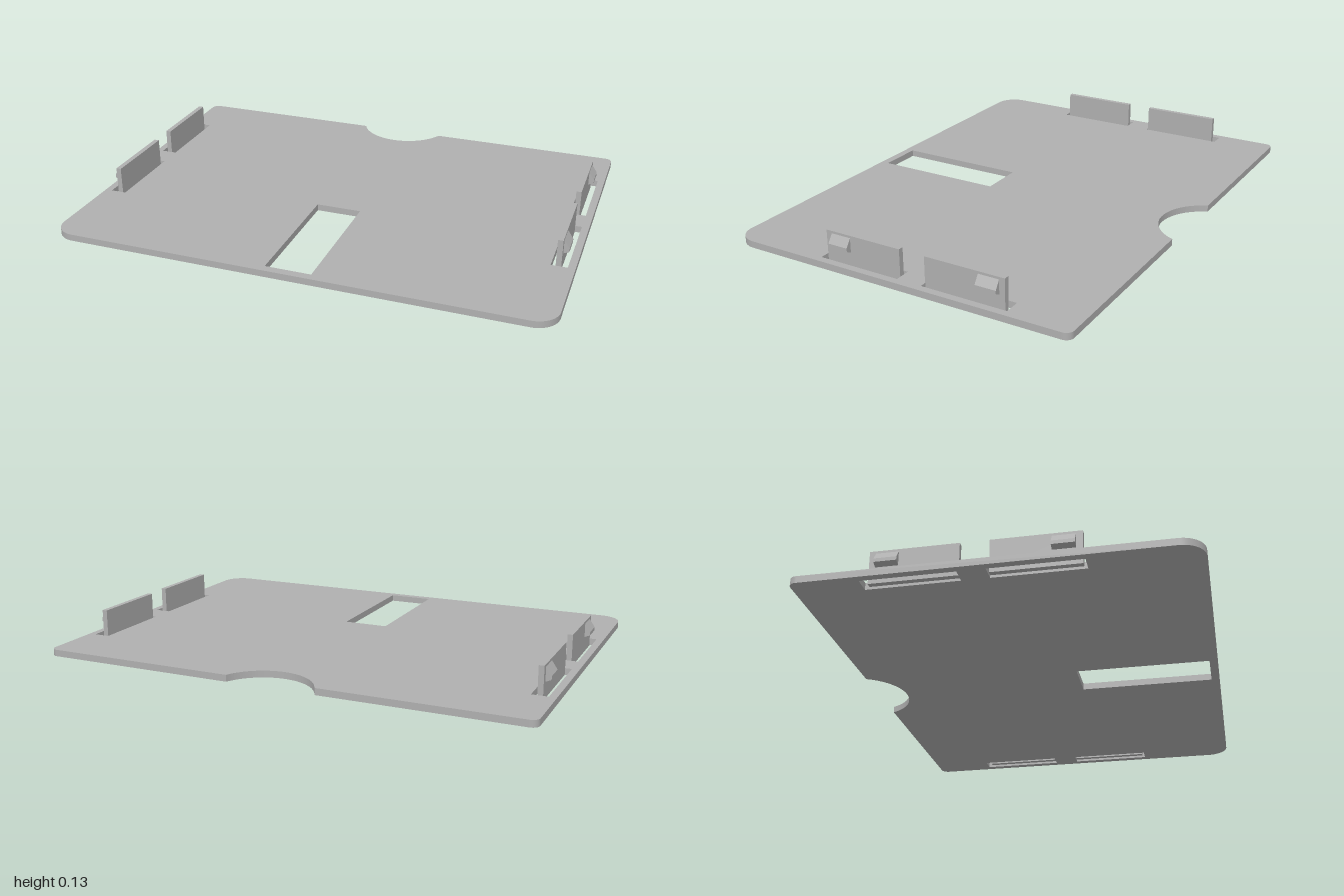
import * as THREE from 'three';

const grey = new THREE.MeshStandardMaterial({ color: 0xb0b0b0 });
grey.name = 'grey plastic';

const THICK = 0.027;

// Rectangular hole in plan; the shape's y is -z
function rectHole(x0, x1, z0, z1) {
  const p = new THREE.Path();
  p.moveTo(x0, -z0);
  p.lineTo(x1, -z0);
  p.lineTo(x1, -z1);
  p.lineTo(x0, -z1);
  p.closePath();
  return p;
}

// Cross-section in x/y swept from z0 to z1, mirrored by side
function sweep(name, points, side, z0, z1) {
  const shape = new THREE.Shape(points.map(([x, y]) => new THREE.Vector2(x * side, y)));
  const geo = new THREE.ExtrudeGeometry(shape, { depth: z1 - z0, bevelEnabled: false });
  geo.translate(0, 0, z0);
  const mesh = new THREE.Mesh(geo, grey);
  mesh.name = name;
  return mesh;
}

// Slot, tab and hook extents along z, front and back
const clips = [
  { name: 'front', slot: [-0.02, 0.323], tab: [-0.015, 0.312], hook: [0.204, 0.288] },
  { name: 'back', slot: [-0.473, -0.123], tab: [-0.45, -0.122], hook: [-0.427, -0.343] },
];

function createPlate() {
  const w = 1, d = 0.725, rf = 0.09, rb = 0.03;
  const notchHalf = 0.183, notchDepth = 0.12;
  const r = (notchHalf ** 2 + notchDepth ** 2) / (2 * notchDepth);
  const a = Math.atan2(notchDepth - r, notchHalf);
  const cy = d - notchDepth + r;

  // Outline with large front corners, small back corners and a thumb notch
  const s = new THREE.Shape();
  s.moveTo(-w + rf, -d);
  s.lineTo(w - rf, -d);
  s.absarc(w - rf, -d + rf, rf, -Math.PI / 2, 0, false);
  s.lineTo(w, d - rb);
  s.absarc(w - rb, d - rb, rb, 0, Math.PI / 2, false);
  s.lineTo(notchHalf, d);
  s.absarc(0, cy, r, a, -Math.PI - a, true);
  s.lineTo(-w + rb, d);
  s.absarc(-w + rb, d - rb, rb, Math.PI / 2, Math.PI, false);
  s.lineTo(-w, -d + rf);
  s.absarc(-w + rf, -d + rf, rf, Math.PI, Math.PI * 1.5, false);

  // Window and the slots around the clips
  s.holes.push(rectHole(-0.094, 0.092, 0.15, 0.692));
  for (const c of clips) {
    s.holes.push(rectHole(0.907, 0.971, ...c.slot));
    s.holes.push(rectHole(-0.971, -0.907, ...c.slot));
  }
  const geo = new THREE.ExtrudeGeometry(s, { depth: THICK, bevelEnabled: false, curveSegments: 20 });
  geo.rotateX(-Math.PI / 2);
  const plate = new THREE.Mesh(geo, grey);
  plate.name = 'plate';
  return plate;
}

export function createModel() {
  const model = new THREE.Group();
  model.name = 'clipCover';
  model.add(createPlate());

  // Four upright spring clips with outward hooks
  const tabProfile = [[0.924, 0], [0.945, 0], [0.945, 0.13], [0.924, 0.13]];
  const hookProfile = [[0.944, 0.064], [0.967, 0.074], [0.967, 0.088], [0.944, 0.122]];
  for (const side of [-1, 1]) {
    for (const c of clips) {
      const clip = new THREE.Group();
      clip.name = c.name + (side > 0 ? 'LeftClip' : 'RightClip');
      clip.add(sweep('tab', tabProfile, side, ...c.tab));
      clip.add(sweep('hook', hookProfile, side, ...c.hook));
      model.add(clip);
    }
  }
  return model;
}
